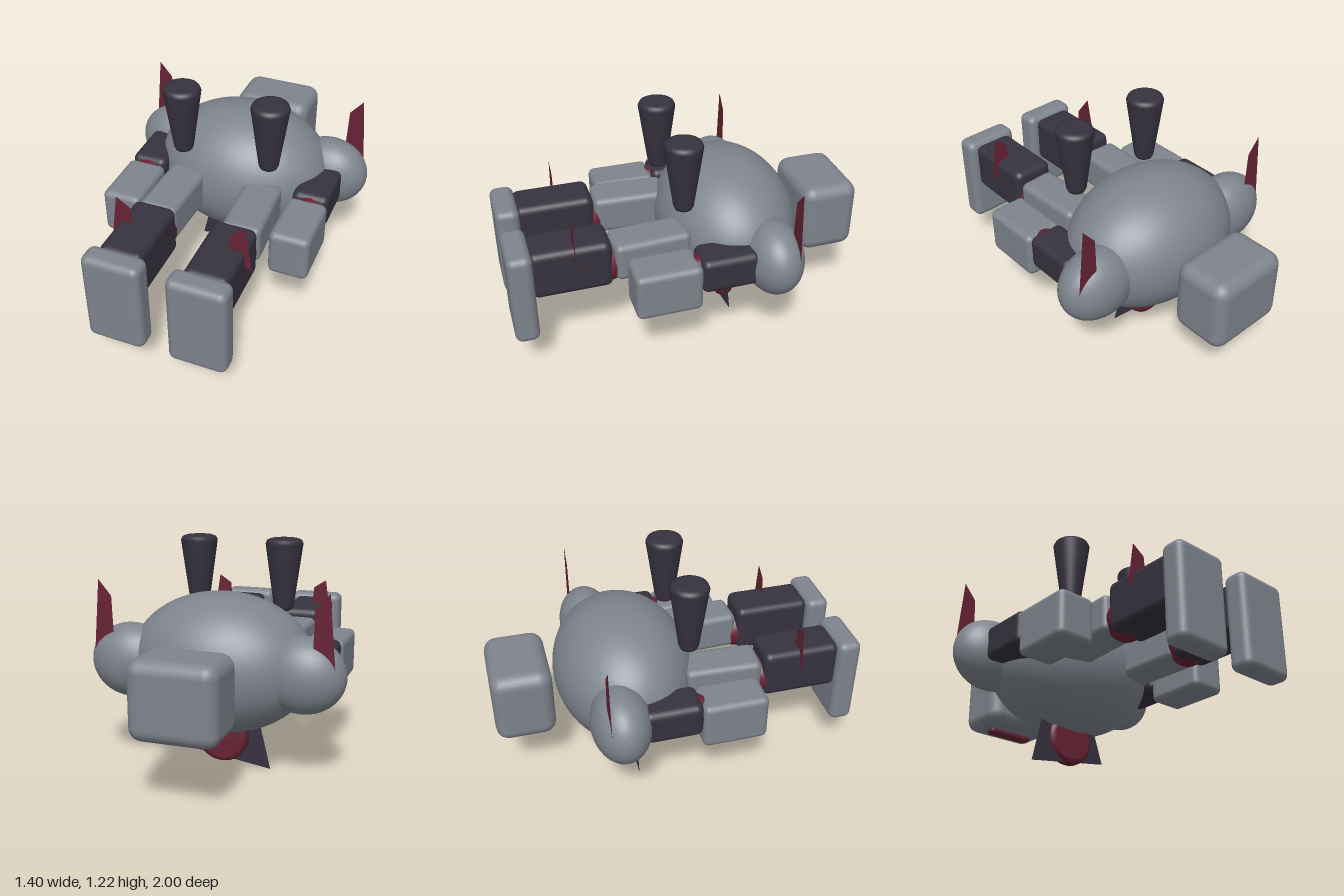
import * as THREE from 'three';
import { RoundedBoxGeometry } from 'three/addons/geometries/RoundedBoxGeometry.js';

const grey = new THREE.MeshStandardMaterial({ color: 0x7e848d });
const dark = new THREE.MeshStandardMaterial({ color: 0x36323f });
const red = new THREE.MeshStandardMaterial({ color: 0x672234 });
const thinRed = new THREE.MeshStandardMaterial({ color: 0x672234, side: THREE.DoubleSide });
const thinDark = new THREE.MeshStandardMaterial({ color: 0x36323f, side: THREE.DoubleSide });

export function createModel() {
  const model = new THREE.Group();
  model.name = 'recliningRobot';

  const add = (name, geometry, material, x, y, z, parent = model) => {
    const mesh = new THREE.Mesh(geometry, material);
    mesh.name = name;
    mesh.position.set(x, y, z);
    parent.add(mesh);
    return mesh;
  };
  const box = (w, h, d, r) => new RoundedBoxGeometry(w, h, d, 3, r);
  const ball = (rx, ry, rz) => new THREE.SphereGeometry(1, 48, 32).scale(rx, ry, rz);
  const plate = (points) => new THREE.ShapeGeometry(
    new THREE.Shape(points.map(([x, y]) => new THREE.Vector2(x, y))));

  // Round solid with softened rims, standing on its base
  const roundSolid = (r0, r1, h, b) => new THREE.LatheGeometry([
    [0, 0], [r0 - b * 1.3, 0], [r0 - b, 0], [r0 - b * 0.3, b * 0.3], [r0, b],
    [r1, h - b], [r1 - b * 0.3, h - b * 0.3], [r1 - b, h], [r1 - b * 1.3, h], [0, h],
  ].map(([x, y]) => new THREE.Vector2(x, y)), 40);

  // Body and head
  add('torso', ball(0.505, 0.378, 0.382), grey, 0, 0.598, -0.266);
  add('head', box(0.46, 0.41, 0.325, 0.07), grey, 0, 0.573, -0.8375);
  add('visor', box(0.29, 0.06, 0.065, 0.02), red, 0, 0.37, -0.842);

  // Chest disc and the skewed plate beside it
  add('chestDisc', roundSolid(0.145, 0.145, 0.08, 0.025).rotateX(Math.PI / 2),
    red, 0, 0.178, -0.3);
  add('chestPlate', plate([[-0.265, 0.003], [0.235, 0.078], [0.16, 0.3], [-0.195, 0.3]]),
    thinDark, 0, 0, -0.24);

  // Paired parts, mirrored about x = 0
  for (const s of [1, -1]) {
    const side = s > 0 ? 'left' : 'right';
    const arm = new THREE.Group();
    arm.name = side + 'Arm';
    const leg = new THREE.Group();
    leg.name = side + 'Leg';
    model.add(arm, leg);

    add(side + 'Shoulder', ball(0.225, 0.203, 0.158), grey, s * 0.475, 0.597, -0.377, arm);
    add(side + 'UpperArm', box(0.205, 0.197, 0.315, 0.04), dark, s * 0.482, 0.598, -0.115, arm);
    add(side + 'Elbow', ball(0.082, 0.082, 0.082), red, s * 0.482, 0.6, 0.035, arm);
    add(side + 'Forearm', box(0.22, 0.264, 0.355, 0.035), grey, s * 0.48, 0.546, 0.216, arm);
    add(side + 'ShoulderFin', plate([
      [s * 0.54, 0.68], [s * 0.55, 0.955], [s * 0.622, 1.04], [s * 0.657, 0.65],
    ]), thinRed, 0, 0, -0.457, arm);

    const thigh = add(side + 'Thigh', box(0.212, 0.215, 0.42, 0.035), grey, s * 0.228, 0.607, 0.233, leg);
    thigh.rotation.y = s * 0.045;
    add(side + 'Knee', ball(0.108, 0.108, 0.095), red, s * 0.226, 0.57, 0.464, leg);
    add(side + 'Shin', box(0.235, 0.275, 0.43, 0.04), dark, s * 0.226, 0.616, 0.669, leg);
    add(side + 'Foot', box(0.316, 0.53, 0.13, 0.04), grey, s * 0.224, 0.504, 0.934, leg);
    add(side + 'ShinFin', plate([
      [s * 0.258, 0.7], [s * 0.272, 0.852], [s * 0.345, 0.9], [s * 0.383, 0.65],
    ]), thinRed, 0, 0, 0.652, leg);

    add(side + 'Cannon', roundSolid(0.055, 0.103, 0.397, 0.026), dark, s * 0.248, 0.83, 0.047);
  }
  return model;
}
